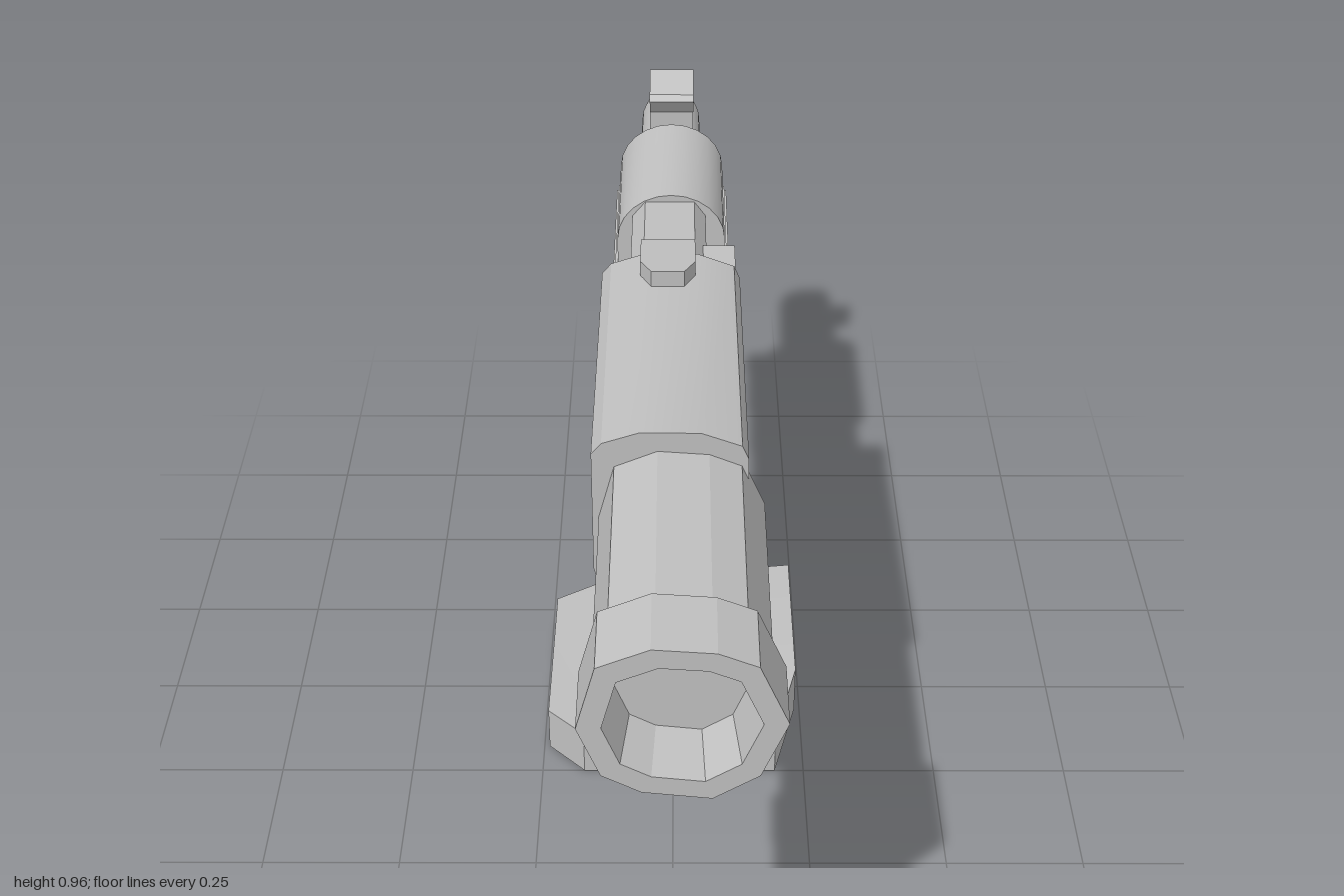
import * as THREE from 'three';
import { toCreasedNormals } from 'three/addons/utils/BufferGeometryUtils.js';

const metal = new THREE.MeshStandardMaterial({ color: 0xc0c0c0 });

// Skin a chain of matching convex rings (counter-clockwise seen from +z) and cap both ends
function loft(rings) {
  const out = [], n = rings[0].length;
  const tri = (a, b, c) => out.push(...a, ...b, ...c);
  const first = rings[0], last = rings[rings.length - 1];
  for (let r = 0; r < rings.length - 1; r++) {
    for (let i = 0; i < n; i++) {
      const j = (i + 1) % n, a = rings[r], b = rings[r + 1];
      tri(a[i], a[j], b[j]);
      tri(a[i], b[j], b[i]);
    }
  }
  for (let i = 1; i < n - 1; i++) {
    tri(first[0], first[i + 1], first[i]);
    tri(last[0], last[i], last[i + 1]);
  }
  const g = new THREE.BufferGeometry();
  g.setAttribute('position', new THREE.Float32BufferAttribute(out, 3));
  return g;
}

const at = (points, z) => points.map(([x, y]) => [x, y, z]);
const prism = (points, z0, z1) => loft([at(points, z0), at(points, z1)]);

// Scale a section about a centre and place it at depth z
const scaled = (points, s, z, cx = 0, cy = 0) =>
  points.map(([x, y]) => [cx + (x - cx) * s, cy + (y - cy) * s, z]);

// Extrude a side profile of [z, y] points across the width x0..x1
function side(points, x0, x1, hole) {
  const vec = (p) => p.map(([z, y]) => new THREE.Vector2(-z, y));
  const shape = new THREE.Shape(vec(points));
  if (hole) shape.holes.push(new THREE.Path(vec(hole)));
  const g = new THREE.ExtrudeGeometry(shape, { depth: x1 - x0, bevelEnabled: false });
  return g.rotateY(Math.PI / 2).translate(x0, 0, 0);
}

function box(x0, x1, y0, y1, z0, z1) {
  return new THREE.BoxGeometry(x1 - x0, y1 - y0, z1 - z0)
    .translate((x0 + x1) / 2, (y0 + y1) / 2, (z0 + z1) / 2);
}

export function createModel() {
  const group = new THREE.Group();
  const add = (name, geometry, crease = 0.5) => {
    const mesh = new THREE.Mesh(toCreasedNormals(geometry, crease), metal);
    mesh.name = name;
    group.add(mesh);
  };

  // Faceted rear tube with a wide collar and a recessed end
  const rim = [[0.17, 0.77], [0.125, 0.875], [0.065, 0.9], [-0.03, 0.907], [-0.11, 0.873],
    [-0.14, 0.76], [-0.105, 0.67], [-0.045, 0.637], [0.06, 0.625], [0.13, 0.67]];
  const rimAt = (s, z) => scaled(rim, s, z, 0.015, 0.766);
  add('rearTube', loft([rimAt(0.88, 0.45), rimAt(0.88, 0.85), rimAt(1, 0.87), rimAt(1, 1),
    rimAt(0.76, 1), rimAt(0.66, 0.9)]), 0.2);

  // Receiver with sloping top and rising underside
  const body = (top, bottom, z) => [
    [-0.12, bottom], [0.115, bottom], [0.123, bottom + 0.05], [0.123, top - 0.05],
    [0.112, top - 0.025], [0.045, top], [-0.055, top], [-0.115, top - 0.02],
    [-0.132, top - 0.04], [-0.132, bottom + 0.05]].map(([x, y]) => [x, y, z]);
  add('receiver', loft([body(0.898, 0.636, -0.165), body(0.925, 0.606, 0.475)]), 0.45);

  // Side cheeks and the frame between them
  const cheek = [[-0.15, 0.85], [-0.165, 0.845], [-0.23, 0.825], [-0.243, 0.64], [-0.15, 0.635]];
  add('rightCheek', side(cheek, -0.13, -0.075));
  add('leftCheek', side(cheek, 0.065, 0.12));
  add('frame', box(-0.08, 0.07, 0.638, 0.76, -0.225, -0.15));
  add('catch', box(0.055, 0.115, 0.825, 0.87, -0.25, -0.16));

  // Bolt section joining receiver and barrel shroud
  const bolt = (top, z) => [[-0.08, 0.75], [0.062, 0.75], [0.062, top - 0.03],
    [0.04, top], [-0.055, top], [-0.08, top - 0.03]].map(([x, y]) => [x, y, z]);
  add('bolt', loft([bolt(0.88, -0.42), bolt(0.895, -0.15)]));

  // Shroud with a rounded top
  const shroud = [[-0.11, 0.75], [0.1, 0.75]];
  for (let i = 0; i <= 12; i++) {
    const a = (i / 12) * Math.PI;
    shroud.push([-0.005 + 0.105 * Math.cos(a), 0.8 + 0.095 * Math.sin(a)]);
  }
  add('barrelShroud', prism(shroud, -0.72, -0.405), 0.6);

  // Hollow barrel
  const barrel = [[0, -0.6], [0.065, -0.6], [0.064, -0.73], [0.061, -0.96], [0.053, -1],
    [0.04, -1], [0.038, -0.88], [0, -0.88]].map(([r, z]) => new THREE.Vector2(r, -z));
  add('barrel', new THREE.LatheGeometry(barrel, 24).rotateX(-Math.PI / 2)
    .translate(-0.007, 0.797, 0), 0.6);
  add('barrelLug', box(-0.045, 0.035, 0.724, 0.75, -0.87, -0.78));

  // Lower rail with chamfered underside
  add('railTop', box(-0.115, 0.105, 0.72, 0.75, -0.73, -0.265));
  add('railBottom', prism([[-0.065, 0.665], [0.055, 0.665], [0.11, 0.692], [0.11, 0.722],
    [-0.12, 0.722], [-0.12, 0.692]], -0.765, -0.265), 0.2);

  // Sights
  add('frontSight', side([[-0.79, 0.85], [-0.79, 0.89], [-0.762, 0.925], [-0.77, 0.938],
    [-0.835, 0.965], [-0.855, 0.91], [-0.85, 0.85]], -0.05, 0.04), 0.3);
  const sightPlan = [[-0.06, 0.18], [-0.06, 0.08], [-0.04, 0.035], [0.02, 0.035], [0.04, 0.08],
    [0.04, 0.18]];
  add('rearSight', loft([at(sightPlan, 0.89), sightPlan.map(([x, y]) => [x, y, 0.938 - y * 0.1])])
    .rotateX(-Math.PI / 2), 0.2);

  // Raked grip, narrowing toward the top on its right side
  const grip = side([[0.375, 0.625], [0.37, 0.605], [0.345, 0.575], [0.29, 0.56], [0.255, 0.53],
    [0.115, 0.085], [-0.2, 0.085], [-0.065, 0.48], [-0.04, 0.55], [-0.045, 0.65]], -0.132, 0.062);
  const p = grip.attributes.position;
  for (let i = 0; i < p.count; i++) {
    if (p.getX(i) < 0) p.setX(i, p.getX(i) + (p.getY(i) - 0.085) * 0.035);
  }
  add('grip', grip, 0.35);
  add('gripButton', new THREE.CylinderGeometry(0.024, 0.024, 0.012, 16).rotateZ(Math.PI / 2)
    .translate(0.066, 0.51, 0), 0.6);

  // Trigger and guard
  add('triggerGuard', side([[-0.05, 0.5], [-0.08, 0.466], [-0.24, 0.478], [-0.262, 0.5],
    [-0.262, 0.57], [-0.25, 0.65], [-0.03, 0.65]], -0.06, 0.04,
  [[-0.045, 0.635], [-0.22, 0.638], [-0.226, 0.57], [-0.226, 0.52], [-0.21, 0.506],
    [-0.09, 0.497], [-0.06, 0.52]]), 0.3);
  add('trigger', side([[-0.05, 0.65], [-0.11, 0.65], [-0.095, 0.59], [-0.105, 0.55],
    [-0.135, 0.52], [-0.06, 0.525]], -0.03, 0.015), 0.3);

  // Hollow foot plate, dipping at its back right corner; ring y runs toward the back
  const plan = [[-0.24, 0.2], [-0.24, -0.18], [-0.17, -0.25], [0.195, -0.25], [0.24, -0.07],
    [0.24, 0.275], [-0.13, 0.27]];
  const heights = [0.068, 0.09, 0.092, 0.096, 0.102, 0.1, 0.068];
  add('footPlate', loft([scaled(plan, 0.97, 0.062), scaled(plan, 0.97, 0), at(plan, 0),
    plan.map(([x, y], i) => [x, y, heights[i]])]).rotateX(-Math.PI / 2), 0.2);

  return group;
}
